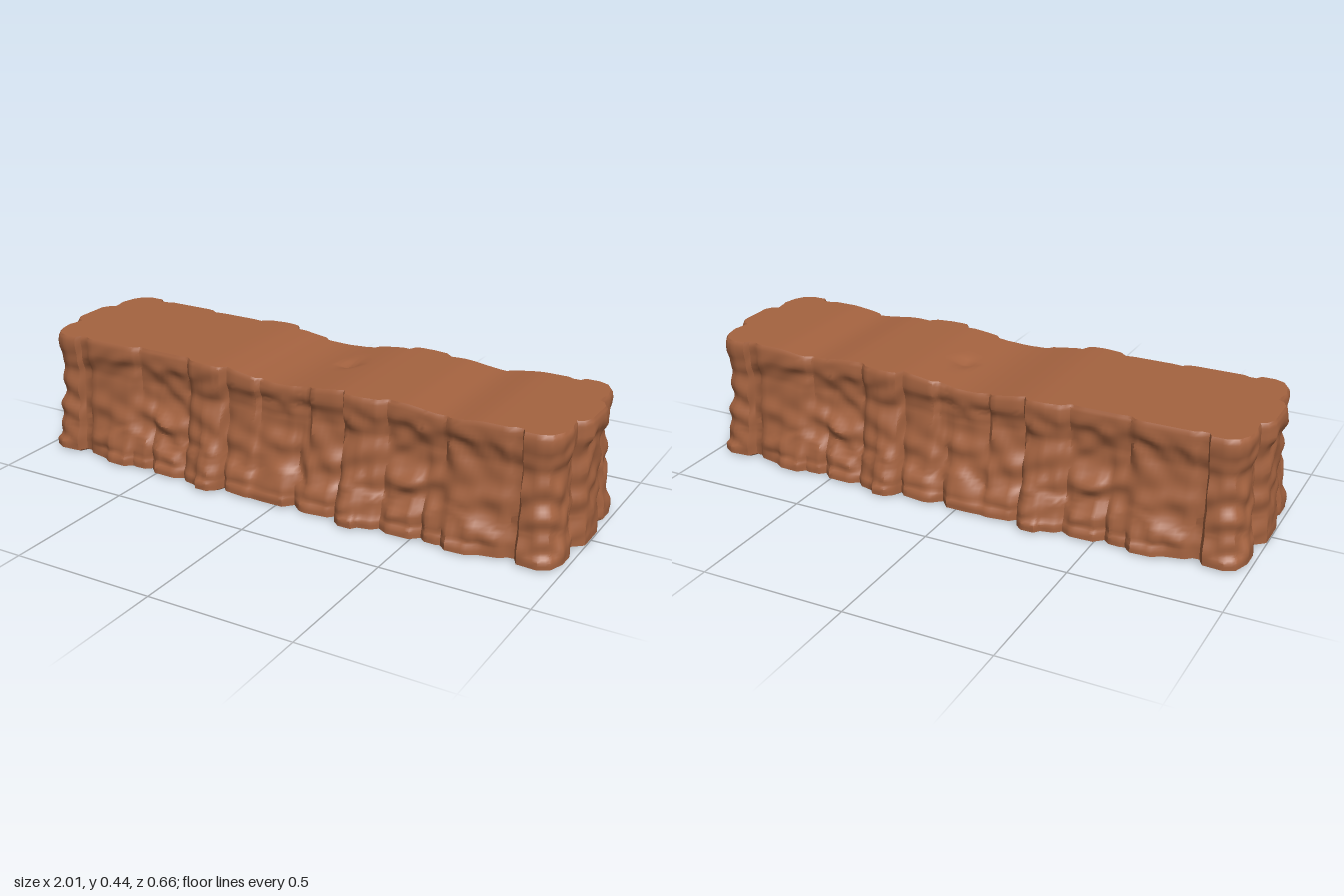
import * as THREE from 'three';
import { toCreasedNormals } from 'three/addons/utils/BufferGeometryUtils.js';

// Quarter outline from the end round the corner to the middle: [base x, base z, upper x, upper z]
const QUARTER = [
  [1.0, 0, 0.985, 0], [1.0, 0.055, 0.985, 0.06], [0.985, 0.068, 0.97, 0.085], [0.965, 0.085, 0.95, 0.095],
  [0.965, 0.13, 0.955, 0.13], [0.985, 0.15, 0.96, 0.15], [0.985, 0.21, 0.95, 0.2], [0.965, 0.265, 0.93, 0.235],
  [0.93, 0.285, 0.9, 0.25], [0.86, 0.28, 0.855, 0.25], [0.842, 0.25, 0.845, 0.23], [0.82, 0.252, 0.82, 0.23],
  [0.80, 0.27, 0.80, 0.24], [0.73, 0.285, 0.73, 0.24], [0.70, 0.305, 0.70, 0.24], [0.63, 0.308, 0.63, 0.24],
  [0.605, 0.285, 0.605, 0.235], [0.59, 0.29, 0.59, 0.222], [0.55, 0.288, 0.55, 0.226], [0.53, 0.27, 0.53, 0.226],
  [0.50, 0.298, 0.50, 0.226], [0.42, 0.30, 0.42, 0.226], [0.385, 0.28, 0.385, 0.222], [0.365, 0.30, 0.36, 0.244],
  [0.32, 0.31, 0.32, 0.25], [0.305, 0.33, 0.305, 0.252], [0.26, 0.33, 0.26, 0.252], [0.235, 0.31, 0.24, 0.248],
  [0.22, 0.275, 0.225, 0.222], [0.20, 0.295, 0.20, 0.228], [0.12, 0.305, 0.11, 0.23], [0.095, 0.30, 0.095, 0.216],
];
const MIDDLE = [[0.06, 0.27, 0.06, 0.217], [0.03, 0.303, 0.03, 0.222], [-0.05, 0.303, -0.05, 0.222]];
// Side profile: [height, share of base outline, outward lip]
const PROFILE = [
  [0, 0.9, -0.012], [0.006, 1, 0], [0.03, 1, 0], [0.045, 0.86, 0], [0.075, 0.72, 0], [0.1, 0.6, 0],
  [0.14, 0.44, 0], [0.2, 0.32, 0], [0.25, 0.17, 0], [0.31, 0.02, 0], [0.355, 0, 0.007],
  [0.385, 0, 0.015], [0.41, 0, 0.016], [0.43, 0, 0.013], [0.438, 0, 0.008],
];

const lerp = THREE.MathUtils.lerp;
const smooth = THREE.MathUtils.smoothstep;
const bump = (d) => 1 - smooth(Math.abs(d), 0, 1);

// Points every few hundredths along a closed outline
function resample(points, step) {
  const out = [];
  points.forEach((a, i) => {
    const b = points[(i + 1) % points.length];
    const n = Math.max(1, Math.round(Math.hypot(b[0] - a[0], b[1] - a[1]) / step));
    for (let k = 0; k < n; k++) out.push(a.map((v, c) => lerp(v, b[c], k / n)));
  });
  return out;
}

function outline() {
  const front = [...QUARTER, ...MIDDLE, ...QUARTER.map(([a, b, c, d]) => [-a, b, -c, d]).reverse()];
  const back = front.slice(1, -1).map(([a, b, c, d]) => [a, -b, c, -d]).reverse();
  return resample([...front, ...back], 0.016);
}

const topHeight = (x) => 0.438 - 0.027 * bump((x + 0.02) / 0.27) - 0.014 * bump((x - 0.58) / 0.15);

// Weathered surface: layered waves, niches with a ledge below, broken ledges near the foot
function relief(x, y, z) {
  const u = Math.abs(x) + Math.abs(z) * 1.7;
  let d = 0.0035 * Math.sin(u * 23 + 4 * Math.sin(y * 17)) + 0.003 * Math.sin(y * 62 + 5 * Math.sin(u * 11));
  d += 0.002 * Math.sin(u * 61 + y * 45);
  if (Math.abs(z) > 0.2 && Math.abs(x) < 0.8) {
    const n = (Math.abs(x) - 0.46) / 0.1;
    const sill = 0.205 + 0.035 * n * n;
    d += 0.016 * bump(n) * (bump((y - sill + 0.03) / 0.04) - bump((y - sill - 0.05) / 0.06));
    const ledge = 0.11 + 0.03 * Math.sin(u * 19);
    d += 0.008 * smooth(-y, -ledge - 0.012, -ledge + 0.004) * smooth(y, 0.03, 0.07);
  }
  return d * smooth(y, 0.01, 0.05) * (1 - smooth(y, 0.36, 0.43));
}

function sidePoint([bx, bz, ux, uz], [y, w, lip]) {
  let x = lerp(ux, bx, w);
  let z = lerp(uz, bz, w);
  const d = lip + relief(x, y, z);
  const end = smooth(Math.abs(x), 0.84, 0.97);
  x += Math.sign(x) * d * end;
  z += Math.sign(z) * d * Math.min(1, Math.abs(z) / 0.2);
  return [x, y * lerp(1, topHeight(x) / 0.438, smooth(y, 0.2, 0.438)), z];
}

// Shrinks a rim point towards the spine of the block
function capPoint([x, , z], t, yAt) {
  const cx = lerp(THREE.MathUtils.clamp(x, -0.86, 0.86), x, t);
  return [cx, yAt(cx, z * t), z * t];
}

// Finer rows along the side profile
function profileRows() {
  const rows = [];
  for (let i = 0; i < PROFILE.length - 1; i++) {
    const n = Math.ceil((PROFILE[i + 1][0] - PROFILE[i][0]) / 0.013);
    for (let k = 0; k < n; k++) rows.push(PROFILE[i].map((v, c) => lerp(v, PROFILE[i + 1][c], k / n)));
  }
  return [...rows, PROFILE[PROFILE.length - 1]];
}

export function createModel() {
  const clay = new THREE.MeshStandardMaterial({ color: 0xa56340 });
  clay.name = 'redClay';

  const ring = outline();
  const sides = profileRows().map((row) => ring.map((p) => sidePoint(p, row)));
  const rim = sides[sides.length - 1];

  // Underside, sides and top joined as one loft
  const floorY = () => 0;
  const topY = (x, z) => topHeight(x) - 0.016 * bump(Math.hypot((x - 0.1) / 0.06, (z + 0.03) / 0.05));
  const bottom = [0, 0.5].map((t) => sides[0].map((p) => capPoint(p, t, floorY)));
  const top = [0.95, 0.7, 0.45, 0.25, 0.12, 0].map((t) => rim.map((p) => capPoint(p, t, topY)));
  const rings = [...bottom, ...sides, ...top];

  const n = ring.length;
  const index = [];
  for (let j = 0; j < rings.length - 1; j++) {
    for (let i = 0; i < n; i++) {
      const a = j * n + i;
      const b = j * n + ((i + 1) % n);
      index.push(a, a + n, b, b, a + n, b + n);
    }
  }
  const geometry = new THREE.BufferGeometry();
  geometry.setAttribute('position', new THREE.Float32BufferAttribute(rings.flat(2), 3));
  geometry.setIndex(index);

  const block = new THREE.Mesh(toCreasedNormals(geometry, 0.8), clay);
  block.name = 'rockWall';
  const group = new THREE.Group();
  group.name = 'rockBlock';
  group.add(block);
  return group;
}
